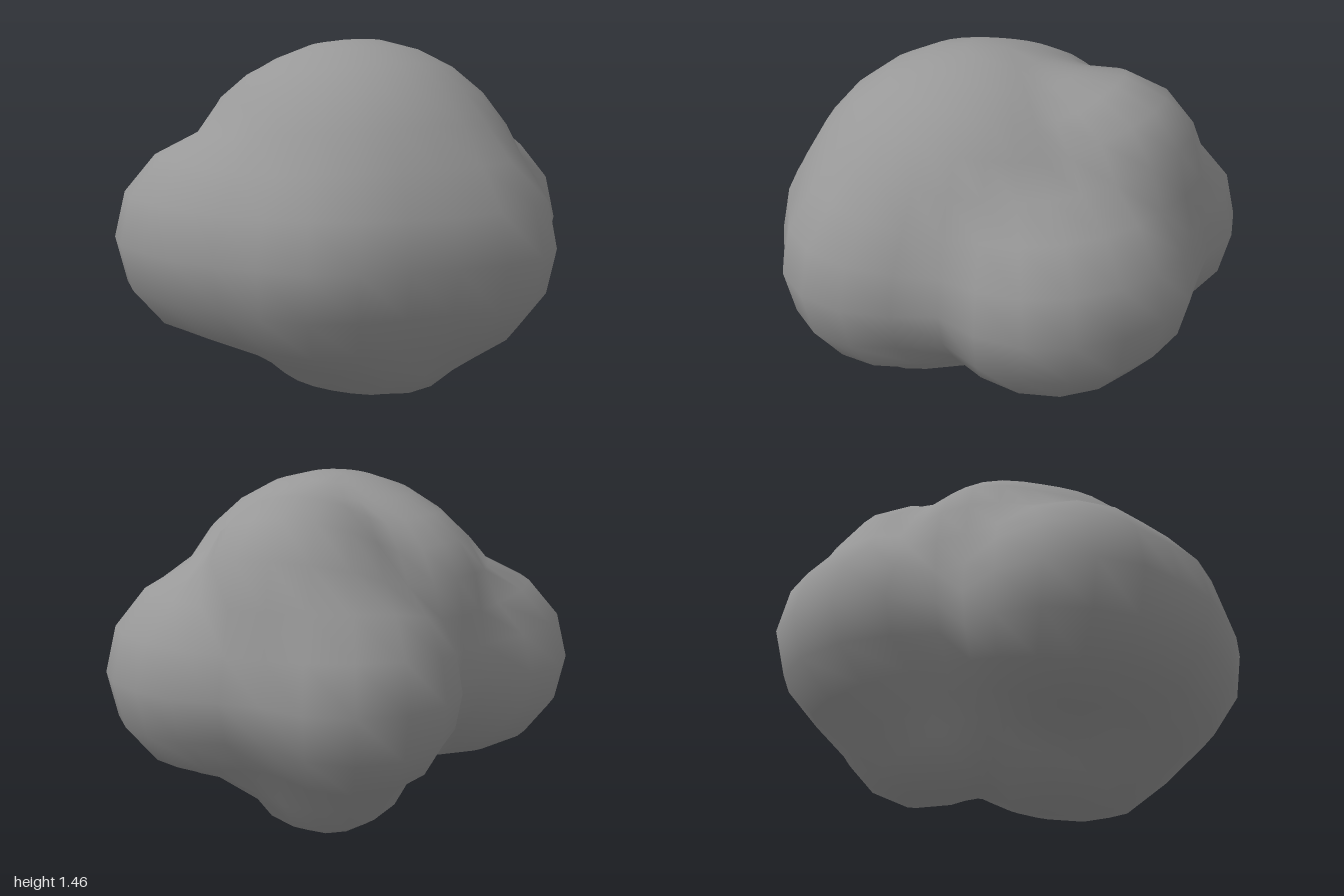
import * as THREE from 'three';
import { mergeVertices } from 'three/addons/utils/BufferGeometryUtils.js';

// Rounded lobes, relative to the middle of the blob: centre x, y, z and radii x, y, z
const LOBES = [
  [0, 0.12, 0.11, 0.69, 0.685, 0.76],      // core dome
  [-0.07, -0.18, 0.17, 0.49, 0.48, 0.49],  // bottom
  [0.18, 0, 0.51, 0.45, 0.46, 0.47],       // front
  [-0.12, 0, 0.5, 0.43, 0.43, 0.44],       // front middle
  [0, -0.22, 0.4, 0.41, 0.4, 0.4],         // lower front
  [-0.3, -0.04, 0.42, 0.46, 0.44, 0.46],   // front right
  [-0.52, 0, 0.22, 0.41, 0.41, 0.41],      // right, towards the front
  [-0.55, 0, -0.03, 0.445, 0.43, 0.455],   // right
  [0.55, 0, -0.06, 0.45, 0.44, 0.51],      // left
  [0.5, 0, -0.27, 0.385, 0.38, 0.385],     // left, towards the back
  [0.1, 0, -0.55, 0.43, 0.43, 0.44],       // back
  [0.25, 0.345, -0.34, 0.4, 0.4, 0.41],    // upper back left
  [-0.2, 0.3, -0.18, 0.37, 0.37, 0.37],    // upper back right
  [0.14, -0.28, -0.33, 0.365, 0.365, 0.365], // lower back
];
const SHARPNESS = 34; // higher gives tighter creases between lobes

// Distance along direction d from the middle to the far side of a lobe (0 if missed)
function reach(d, [cx, cy, cz, rx, ry, rz]) {
  const u = new THREE.Vector3(d.x / rx, d.y / ry, d.z / rz);
  const c = new THREE.Vector3(cx / rx, cy / ry, cz / rz);
  const a = u.dot(u), b = u.dot(c);
  const disc = b * b - a * (c.dot(c) - 1);
  return disc < 0 ? 0 : Math.max(0, (b + Math.sqrt(disc)) / a);
}

// Smooth maximum of all lobes
function radius(d) {
  let sum = 0;
  for (const lobe of LOBES) sum += Math.exp(SHARPNESS * reach(d, lobe));
  return Math.log(sum) / SHARPNESS;
}

export function createModel() {
  const group = new THREE.Group();
  group.name = 'lumpyBlob';

  // Weld the sphere's seam so the shading stays smooth all round
  const sphere = new THREE.SphereGeometry(1, 32, 16);
  sphere.deleteAttribute('uv');
  sphere.deleteAttribute('normal');
  const geometry = mergeVertices(sphere, 1e-4);

  // Push each vertex out to the surface of the lobes
  const pos = geometry.attributes.position;
  const d = new THREE.Vector3();
  for (let i = 0; i < pos.count; i++) {
    d.fromBufferAttribute(pos, i).normalize();
    d.multiplyScalar(radius(d));
    pos.setXYZ(i, d.x, d.y, d.z);
  }

  // Stand it on the ground
  geometry.computeBoundingBox();
  geometry.translate(0, -geometry.boundingBox.min.y, 0);
  geometry.computeVertexNormals();

  const body = new THREE.Mesh(geometry, new THREE.MeshStandardMaterial({ color: 0x989898 }));
  body.name = 'body';
  group.add(body);
  return group;
}
